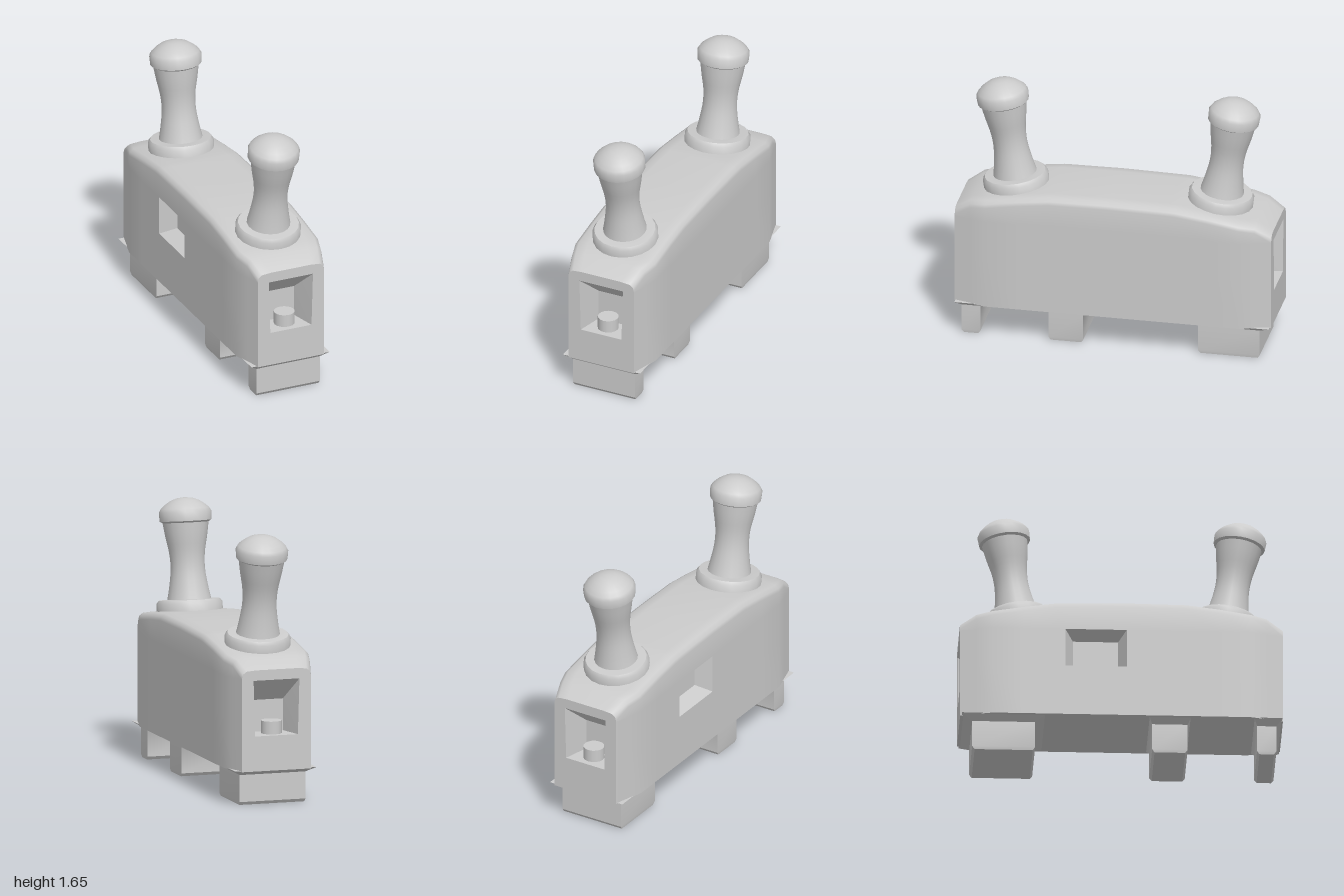
import * as THREE from 'three';
import { toCreasedNormals } from 'three/addons/utils/BufferGeometryUtils.js';

const grey = new THREE.MeshStandardMaterial({ color: 0xcccccc, side: THREE.DoubleSide });

function add(parent, name, geometry) {
  const mesh = new THREE.Mesh(geometry, grey);
  mesh.name = name;
  parent.add(mesh);
  return mesh;
}

// Skin over counter-clockwise rings of [x, y, z]; skip(i, j) leaves a quad open
function loft(rings, { capStart = false, capEnd = false, skip = () => false, crease = 0.6 } = {}) {
  const n = rings[0].length, index = [];
  for (let i = 0; i < rings.length - 1; i++) {
    for (let j = 0; j < n; j++) {
      if (skip(i, j)) continue;
      const k = (j + 1) % n, a = i * n + j, b = i * n + k;
      index.push(a, b, b + n, a, b + n, a + n);
    }
  }
  const last = (rings.length - 1) * n;
  for (let j = 1; j < n - 1; j++) {
    if (capStart) index.push(0, j + 1, j);
    if (capEnd) index.push(last, last + j, last + j + 1);
  }
  const g = new THREE.BufferGeometry();
  g.setAttribute('position', new THREE.Float32BufferAttribute(rings.flat(2), 3));
  g.setIndex(index);
  return toCreasedNormals(g, crease);
}

const rect = (x0, x1, y0, y1, z) => [[x0, y0, z], [x1, y0, z], [x1, y1, z], [x0, y1, z]];

// Body cross-section for half width w and top height t
const sidePocket = { z0: -0.35, z1: 0.03, y0: 0.55, y1: 0.8 };
function section(w, t, z) {
  const right = [
    [w, 0.22], [w, sidePocket.y0], [w, sidePocket.y1], [w, t - 0.045],
    [w - 0.006, t - 0.022], [w - 0.03, t - 0.005], [w - 0.09, t],
  ];
  const left = right.map(([x, y]) => [-x, y]).reverse();
  return [...right, ...left].map(([x, y]) => [x, y, z]);
}

// Tapered socket sunk into an end face, with its face plate and peg
function endSocket(outline) {
  const g = new THREE.Group();
  g.name = 'endSocket';
  const plate = new THREE.Shape(outline.map(([x, y]) => new THREE.Vector2(x, y)));
  const hole = [[-0.14, 0.44], [-0.15, 0.79], [0.15, 0.79], [0.14, 0.44]];
  plate.holes.push(new THREE.Path(hole.map(([x, y]) => new THREE.Vector2(x, y))));
  add(g, 'endPlate', new THREE.ShapeGeometry(plate)).position.z = 1;
  const mouth = [[-0.14, 0.44, 1], [0.14, 0.44, 1], [0.15, 0.79, 1], [-0.15, 0.79, 1]];
  add(g, 'socketRecess', loft([mouth, rect(-0.1, 0.1, 0.44, 0.64, 0.83)], { capEnd: true }));
  add(g, 'socketPeg', new THREE.CylinderGeometry(0.065, 0.065, 0.08, 16)).position.set(0, 0.48, 0.9);
  return g;
}

// Foot with a flared top and slightly bevelled sole
function foot(z0, z1, flareBack, flareFront) {
  const ring = (fx, fb, ff, y) => rect(-0.215 - fx, 0.215 + fx, -z1 - ff, -z0 + fb, y);
  const g = loft([
    ring(-0.004, -0.015, -0.015, 0), ring(0, 0, 0, 0.02), ring(0, 0, 0, 0.19),
    ring(0.05, flareBack, flareFront, 0.225),
  ], { capStart: true, capEnd: true });
  return g.rotateX(-Math.PI / 2);
}

// Smooth turned part from a [radius, height] profile
function turned(points) {
  const pts = points.map(([r, y]) => new THREE.Vector2(r, y));
  const g = new THREE.LatheGeometry(pts, 20);
  return toCreasedNormals(g, 0.75);
}

function handle(z, tilt) {
  const g = new THREE.Group();
  g.name = 'handle';
  add(g, 'collar', turned([[0, -0.03], [0.205, -0.03], [0.205, 0.045], [0.19, 0.066], [0.14, 0.068], [0, 0.06]]));
  const waist = new THREE.SplineCurve([
    [0.14, 0.05], [0.122, 0.14], [0.107, 0.25], [0.11, 0.35], [0.13, 0.46], [0.145, 0.56],
  ].map(([r, y]) => new THREE.Vector2(r, y)));
  add(g, 'grip', turned(waist.getPoints(14).map(p => [p.x, p.y])));
  add(g, 'knob', turned([
    [0, 0.545], [0.145, 0.545], [0.16, 0.555], [0.163, 0.61], [0.15, 0.632],
    [0.125, 0.655], [0.09, 0.679], [0.05, 0.694], [0, 0.7],
  ]));
  g.position.set(0, 0.96, z);
  g.rotation.x = tilt;
  return g;
}

export function createModel() {
  const model = new THREE.Group();
  model.name = 'model';

  // Arched body tapering at both ends
  const stations = [
    [-1, 0.225, 0.855], [-0.9, 0.253, 0.915], [-0.8, 0.28, 0.932], [-0.6, 0.28, 0.965],
    [-0.4, 0.28, 0.992], [sidePocket.z0, 0.28, 0.994], [sidePocket.z1, 0.28, 1], [0.4, 0.28, 0.995],
    [0.6, 0.28, 0.97], [0.8, 0.28, 0.937], [0.9, 0.253, 0.92], [1, 0.225, 0.855],
  ];
  const rings = stations.map(([z, w, t]) => section(w, t, z));
  const pocketColumn = 11; // quad on the -x wall between the two pocket heights
  add(model, 'body', loft(rings, { skip: (i, j) => i === 5 && j === pocketColumn, crease: 0.75 }));

  // Sockets on both ends
  for (const turn of [0, Math.PI]) {
    const socket = endSocket(rings[0]);
    socket.rotation.y = turn;
    model.add(socket);
  }

  // Tapered recess on the right flank
  const { z0, z1, y0, y1 } = sidePocket;
  const recess = add(model, 'sideRecess', loft([
    rect(z0, z1, y0, y1, 0.28), rect(z0 + 0.05, z1 - 0.05, y0 + 0.04, y1 - 0.04, 0.18),
  ], { capEnd: true }));
  recess.rotation.y = -Math.PI / 2;

  // Feet
  add(model, 'frontFoot', foot(0.84, 0.96, 0.02, 0.035));
  add(model, 'middleFoot', foot(0.19, 0.41, 0.02, 0.02));
  add(model, 'rearFoot', foot(-0.925, -0.535, 0.065, 0.07));

  // Handles leaning outward
  model.add(handle(0.655, 0.15), handle(-0.635, -0.145));
  return model;
}
